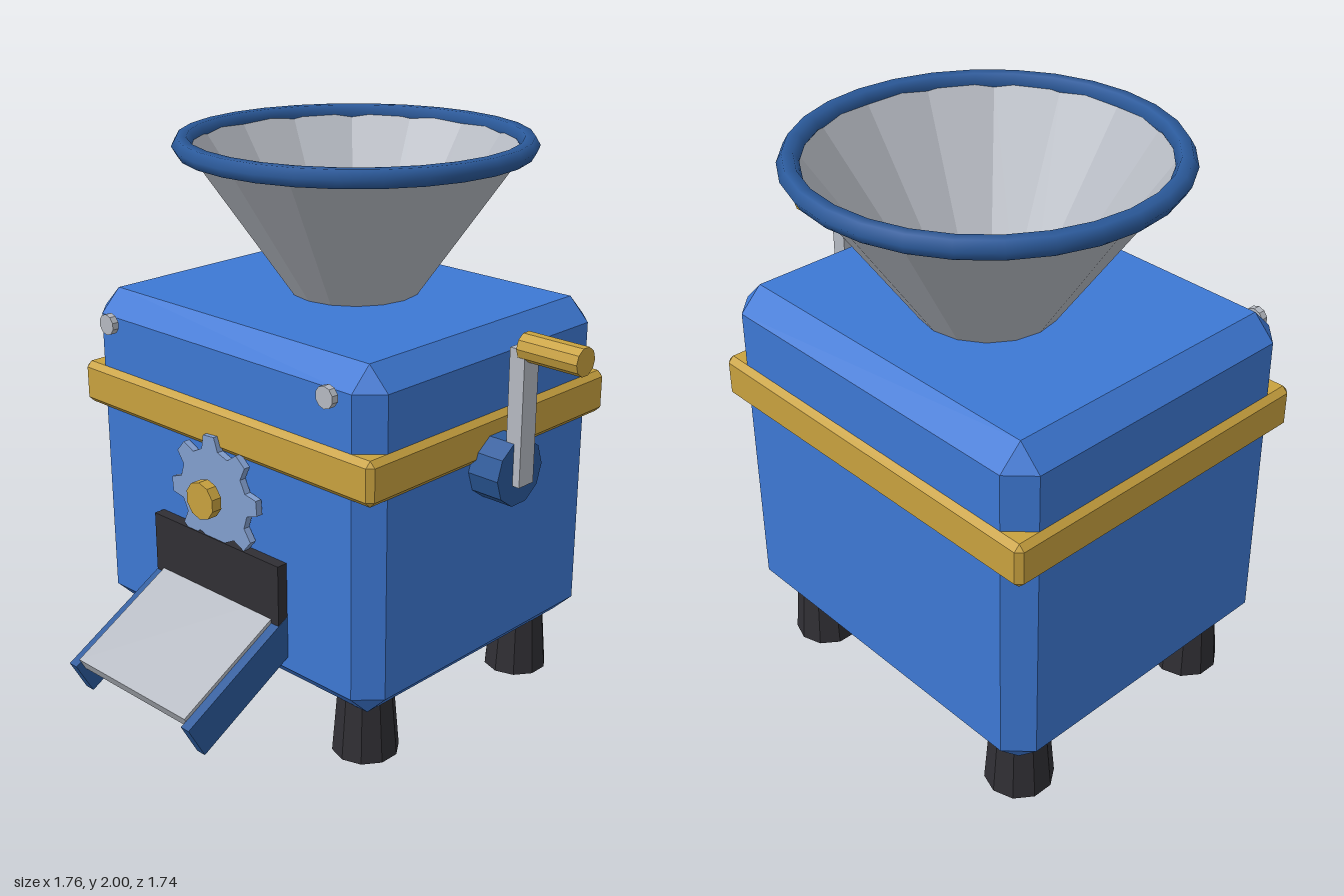
import * as THREE from 'three';
import { ConvexGeometry } from 'three/addons/geometries/ConvexGeometry.js';

const paint = (name, color) => {
  const m = new THREE.MeshStandardMaterial({ color });
  m.name = name;
  return m;
};

// Faceted copy of a geometry
const flat = (g) => {
  const f = g.index ? g.toNonIndexed() : g;
  f.computeVertexNormals();
  return f;
};

const box = (w, h, d) => new THREE.BoxGeometry(w, h, d);
const cyl = (rTop, rBottom, h) => flat(new THREE.CylinderGeometry(rTop, rBottom, h, 10));

// Box with all edges cut by c
function chamferBox(w, h, d, c) {
  const pts = [];
  for (const x of [-1, 1]) for (const y of [-1, 1]) for (const z of [-1, 1]) {
    for (let full = 0; full < 3; full++) {
      pts.push(new THREE.Vector3(
        x * (w / 2 - (full === 0 ? 0 : c)),
        y * (h / 2 - (full === 1 ? 0 : c)),
        z * (d / 2 - (full === 2 ? 0 : c))));
    }
  }
  return new ConvexGeometry(pts);
}

// Toothed wheel, facing +z
function gearGeometry(teeth, rIn, rOut, depth) {
  const shape = new THREE.Shape();
  const step = (Math.PI * 2) / teeth;
  for (let i = 0; i < teeth; i++) {
    const mid = i * step + 0.08;
    [[-0.31, rIn], [-0.16, rOut], [0.16, rOut], [0.31, rIn]].forEach(([o, r], k) => {
      const a = mid + o * step;
      const x = r * Math.cos(a), y = r * Math.sin(a);
      if (i + k === 0) shape.moveTo(x, y); else shape.lineTo(x, y);
    });
  }
  shape.closePath();
  return new THREE.ExtrudeGeometry(shape, { depth, bevelEnabled: false });
}

export function createModel() {
  const model = new THREE.Group();
  model.name = 'hopperMachine';
  const blue = paint('body blue', 0x3d78d4);
  const navy = paint('trim blue', 0x2b5a9b);
  const gold = paint('brass', 0xc9a23f);
  const steel = paint('steel', 0xb6bac2);
  const gearBlue = paint('gear blue grey', 0x829fcf);
  const dark = paint('dark rubber', 0x302f34);

  const add = (name, geo, mat, x, y, z, parent = model) => {
    const m = new THREE.Mesh(geo, mat);
    m.name = name;
    m.position.set(x, y, z);
    parent.add(m);
    return m;
  };

  const CX = -0.17, CZ = -0.175;

  // Housing and band
  add('body', chamferBox(1.385, 1.23, 1.19, 0.08), blue, CX, 0.835, CZ);
  add('band', chamferBox(1.425, 0.155, 1.23, 0.02), gold, CX, 1.097, CZ);

  // Feet
  for (const x of [-0.685, 0.345]) for (const z of [0.243, -0.593]) {
    add('foot', cyl(0.098, 0.118, 0.24), dark, x, 0.12, z);
  }

  // Hopper funnel with a thin wall, and its rim
  const wall = [[0.22, 1.43], [0.596, 1.97], [0.576, 1.97], [0.2, 1.43]];
  const funnel = new THREE.LatheGeometry(wall.map(([r, y]) => new THREE.Vector2(r, y)), 16);
  add('funnel', flat(funnel), steel, CX, 0, -0.24);
  const rim = new THREE.TorusGeometry(0.598, 0.035, 6, 28);
  rim.rotateX(Math.PI / 2);
  add('funnelRim', rim, navy, CX, 1.97, -0.24);

  // Side crank
  const crank = new THREE.Group();
  crank.name = 'crank';
  model.add(crank);
  add('crankHub', cyl(0.118, 0.118, 0.125), navy, 0.582, 0.993, CZ, crank).rotation.z = Math.PI / 2;
  add('crankArm', box(0.06, 0.475, 0.075), steel, 0.642, 1.193, CZ, crank);
  add('crankGrip', cyl(0.049, 0.049, 0.235), gold, 0.7625, 1.433, CZ, crank).rotation.z = Math.PI / 2;

  // Front bolts
  for (const x of [-0.706, 0.366]) {
    add('bolt', cyl(0.038, 0.038, 0.025), steel, x, 1.353, 0.45).rotation.x = Math.PI / 2;
  }

  // Front gear and its cap
  add('gear', gearGeometry(8, 0.168, 0.216, 0.025), gearBlue, CX, 0.86, 0.432);
  add('gearCap', cyl(0.068, 0.068, 0.04), gold, CX, 0.86, 0.5).rotation.x = Math.PI / 2;

  // Outlet panel
  add('outletPanel', box(0.632, 0.34, 0.05), dark, CX, 0.53, 0.436);

  // Sloping chute: tray between two rails
  const chute = new THREE.Group();
  chute.name = 'chute';
  chute.position.set(CX, 0.255, 0.87);
  chute.rotation.x = 0.5;
  model.add(chute);
  add('chuteTray', box(0.56, 0.05, 0.576), steel, 0, -0.012, -0.312, chute);
  for (const s of [-1, 1]) {
    add('chuteRail', box(0.038, 0.136, 0.6), navy, s * 0.298, -0.068, -0.3, chute);
  }
  return model;
}
